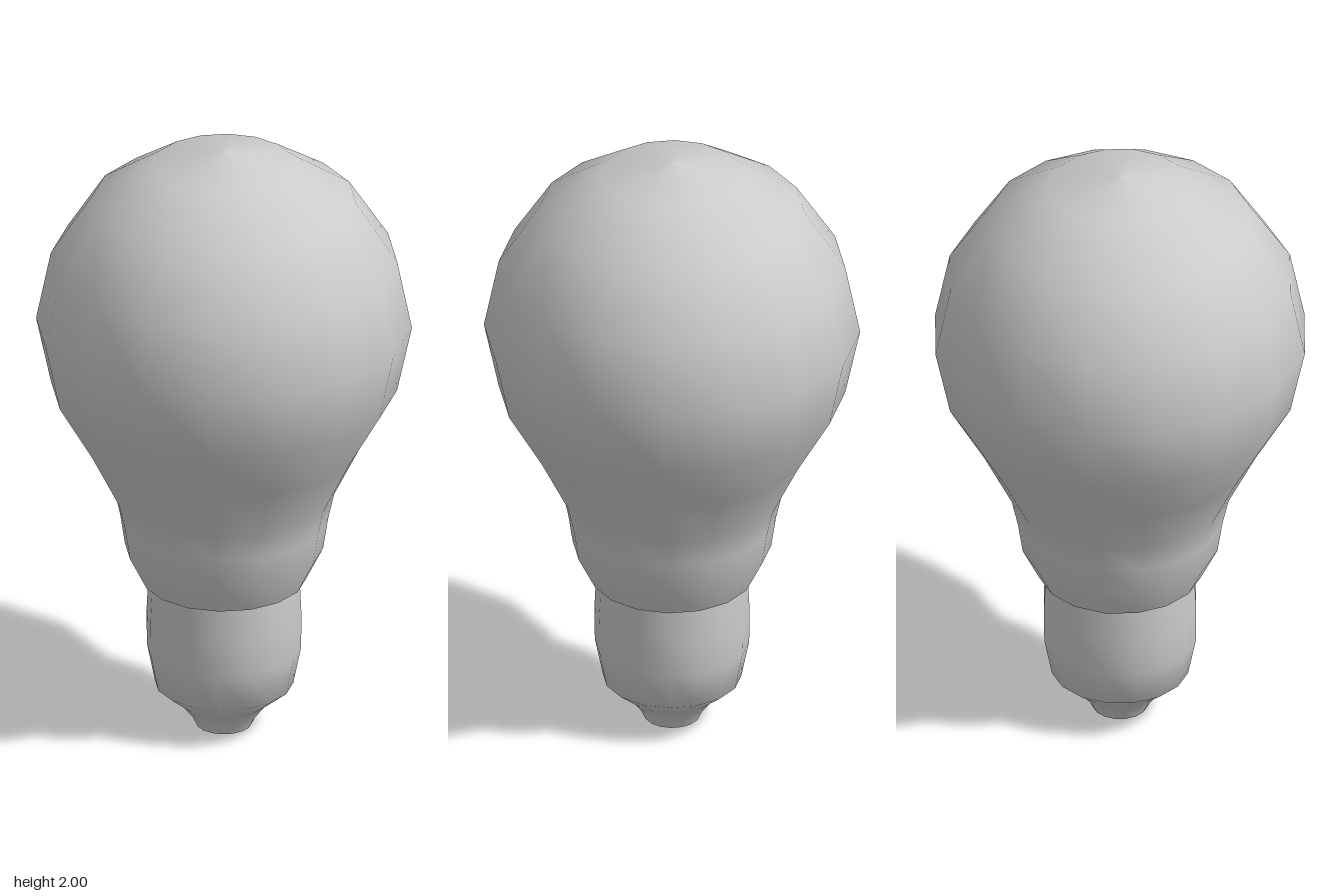
import * as THREE from 'three';

const SIDES = 16;

// Turns a [radius, height] profile, listed from bottom to top, into a smooth mesh
function turned(name, profile, material) {
  const points = profile.map(([r, y]) => new THREE.Vector2(r, y));
  const mesh = new THREE.Mesh(new THREE.LatheGeometry(points, SIDES), material);
  mesh.name = name;
  return mesh;
}

export function createModel() {
  const group = new THREE.Group();
  group.name = 'lightBulb';
  const material = new THREE.MeshStandardMaterial({ color: 0xcccccc, side: THREE.DoubleSide });

  // Glass envelope with collar, open at the bottom
  group.add(turned('glass', [
    [0.26, 0.51], [0.315, 0.62], [0.33, 0.72], [0.35, 0.81], [0.44, 0.99],
    [0.55, 1.18], [0.597, 1.4], [0.55, 1.63], [0.42, 1.83], [0.226, 1.956], [0, 2],
  ], material));

  // Screw base, tapering to the foot
  group.add(turned('base', [
    [0.088, 0], [0.105, 0.035], [0.14, 0.08], [0.22, 0.145],
    [0.245, 0.27], [0.246, 0.39], [0.24, 0.52],
  ], material));

  // Flat contact closing the foot
  const contact = new THREE.Mesh(new THREE.CircleGeometry(0.088, SIDES), material);
  contact.name = 'contact';
  contact.rotation.x = Math.PI / 2;
  group.add(contact);

  return group;
}
